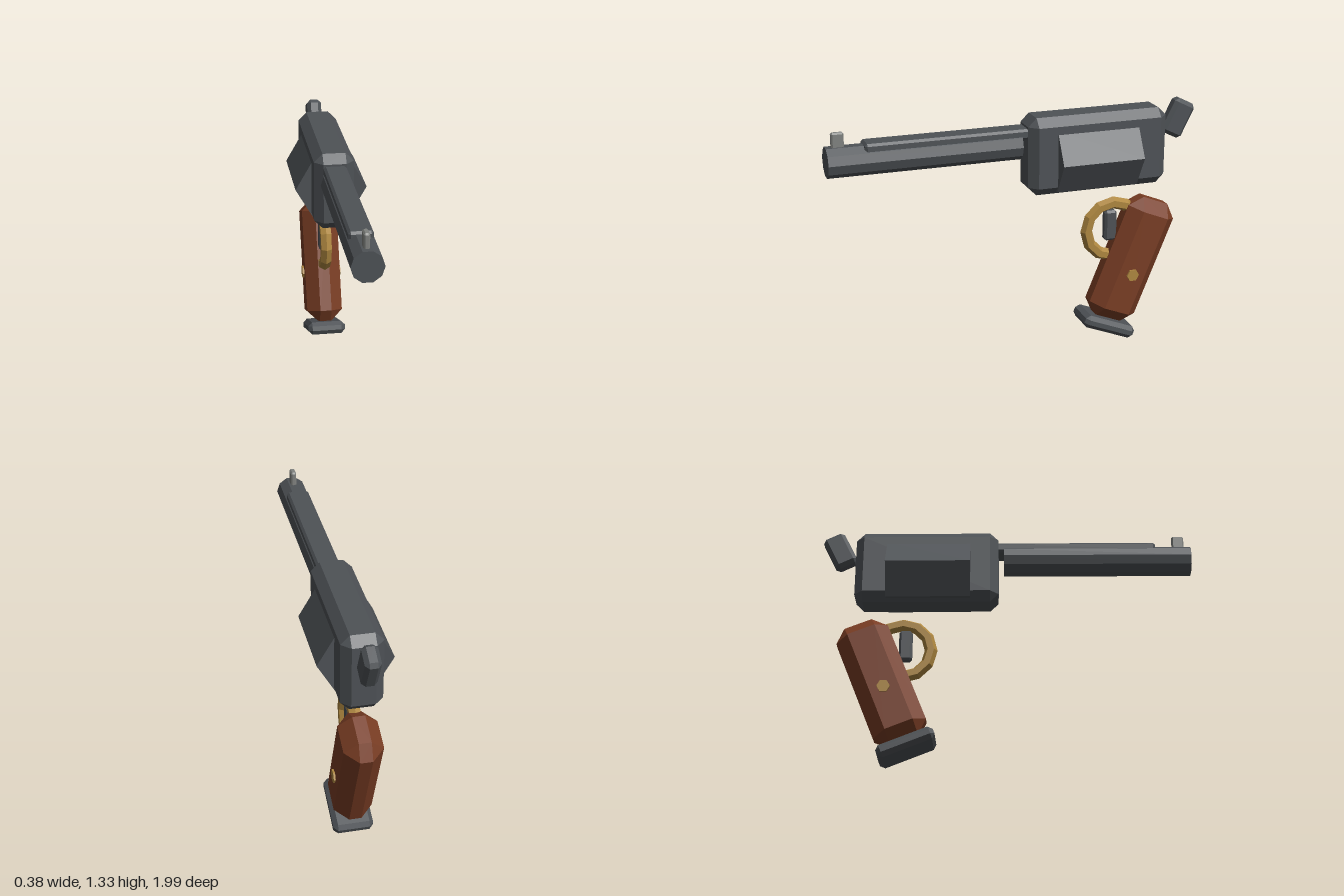
import * as THREE from 'three';
import { ConvexGeometry } from 'three/addons/geometries/ConvexGeometry.js';

const material = (name, color) => {
  const m = new THREE.MeshStandardMaterial({ color, flatShading: true });
  m.name = name;
  return m;
};

// Box with flat chamfers of width b on every edge
function chamferBox(w, h, d, b) {
  const points = [];
  for (const sx of [-1, 1]) for (const sy of [-1, 1]) for (const sz of [-1, 1]) {
    const x = w / 2, y = h / 2, z = d / 2;
    points.push(
      new THREE.Vector3(sx * x, sy * (y - b), sz * (z - b)),
      new THREE.Vector3(sx * (x - b), sy * y, sz * (z - b)),
      new THREE.Vector3(sx * (x - b), sy * (y - b), sz * z));
  }
  return new ConvexGeometry(points);
}

export function createModel() {
  const steel = material('gunmetal', 0x4e5256);
  const silver = material('light steel', 0x80827f);
  const wood = material('walnut', 0x793d24);
  const brass = material('brass', 0xae8740);

  const group = new THREE.Group();
  group.name = 'revolver';
  const add = (name, geometry, mat, y, z, tilt = 0) => {
    const mesh = new THREE.Mesh(geometry, mat);
    mesh.name = name;
    mesh.position.set(0, y, z);
    mesh.rotation.x = tilt;
    group.add(mesh);
  };

  // Frame and the six-sided drum through it
  add('frame', chamferBox(0.21, 0.415, 0.77, 0.045), steel, 1.0975, -0.425);
  const drum = new THREE.CylinderGeometry(0.19, 0.19, 0.45, 6);
  drum.rotateY(Math.PI / 6).rotateX(Math.PI / 2);
  add('drum', drum, steel, 1.07, -0.415);

  // Ten-sided barrel, top rib and front sight
  const barrel = new THREE.CylinderGeometry(0.08, 0.08, 1.01, 10);
  barrel.rotateY(Math.PI / 10).rotateX(Math.PI / 2);
  add('barrel', barrel, steel, 1.16, 0.495);
  add('barrelRib', chamferBox(0.12, 0.055, 0.87, 0.012), steel, 1.222, 0.375);
  add('frontSight', chamferBox(0.03, 0.1, 0.065, 0.008), silver, 1.26, 0.9375);

  // Hammer leaning back
  add('hammer', chamferBox(0.08, 0.2, 0.125, 0.02), steel, 1.222, -0.903, -0.46);

  // Slanted grip, butt plate and pins through the sides
  const slant = -0.385;
  add('grip', chamferBox(0.2, 0.71, 0.288, 0.068), wood, 0.445, -0.652, slant);
  add('buttPlate', chamferBox(0.21, 0.07, 0.31, 0.022), steel, 0.087, -0.51, slant);
  const pin = new THREE.CylinderGeometry(0.035, 0.035, 0.22, 6).rotateZ(Math.PI / 2);
  add('gripPin', pin, brass, 0.385, -0.63);

  // Trigger guard arc, its ends buried in the grip
  const guard = new THREE.TorusGeometry(0.15, 0.034, 6, 9, Math.PI * 1.5);
  guard.rotateZ(-Math.PI * 2 / 3).rotateY(-Math.PI / 2);
  add('triggerGuard', guard, brass, 0.63, -0.545);
  add('trigger', chamferBox(0.05, 0.17, 0.07, 0.012), steel, 0.655, -0.53);

  return group;
}
